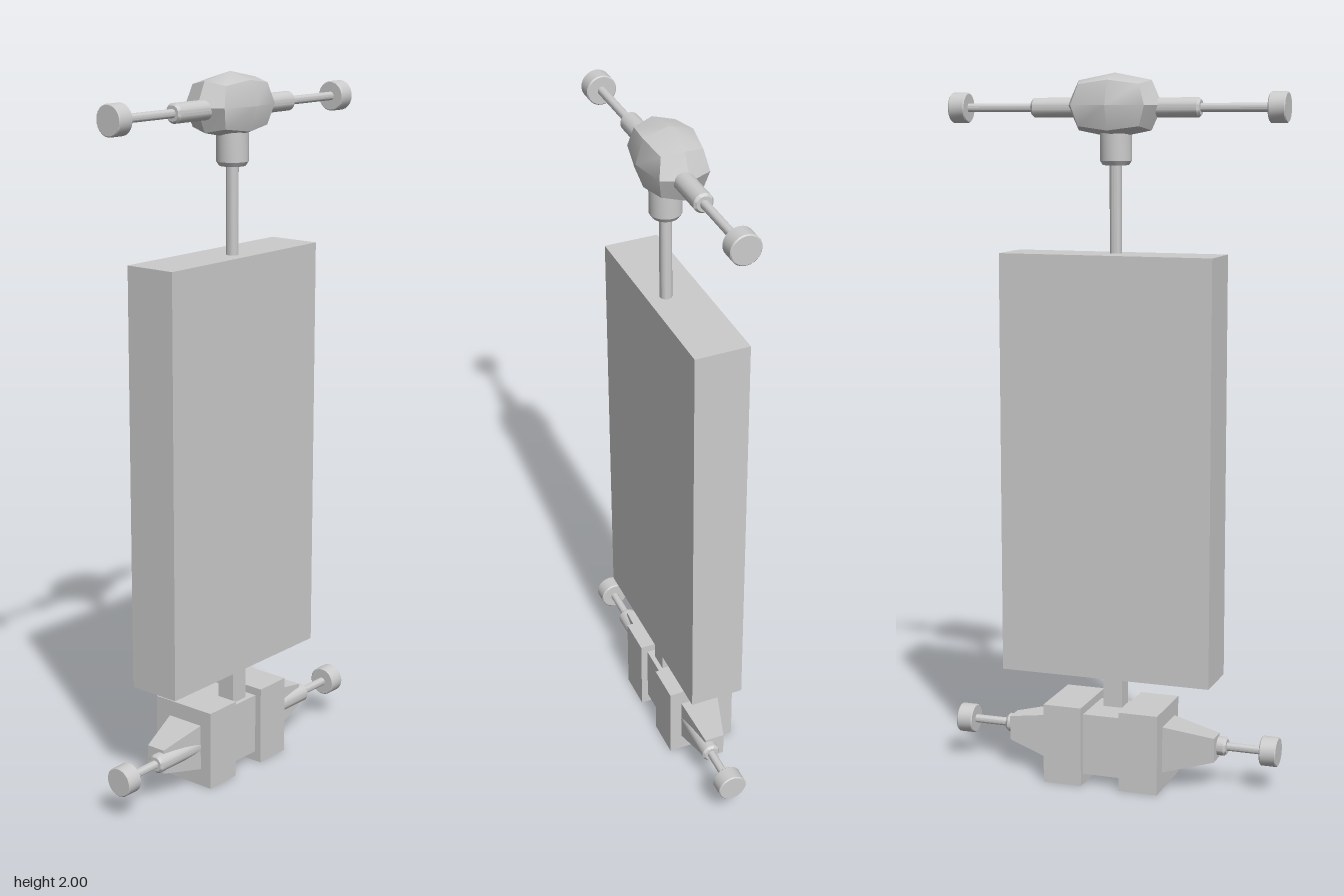
import * as THREE from 'three';
import { toCreasedNormals } from 'three/addons/utils/BufferGeometryUtils.js';

const material = new THREE.MeshStandardMaterial({ color: 0xcccccc });
const AXIS_Z = 0.028; // depth of the post and both crossbars

function add(parent, name, geometry, x = 0, y = 0, z = 0) {
  const mesh = new THREE.Mesh(geometry, material);
  mesh.name = name;
  mesh.position.set(x, y, z);
  parent.add(mesh);
  return mesh;
}

// Box given by its lower and upper limits
function block(parent, name, [x0, x1], [y0, y1], [z0, z1]) {
  return add(parent, name, new THREE.BoxGeometry(x1 - x0, y1 - y0, z1 - z0),
    (x0 + x1) / 2, (y0 + y1) / 2, (z0 + z1) / 2);
}

// Turned solid from [radius, height] pairs, with crisp edges
function turned(points, sides = 24) {
  const profile = points.map(([r, h]) => new THREE.Vector2(r, h));
  return toCreasedNormals(new THREE.LatheGeometry(profile, sides), 0.5);
}

// One half of a crossbar: sleeve, thin rod and end knob, along +x or -x
function barHalf(parent, name, side, y, sleeveEnd) {
  const half = new THREE.Group();
  half.name = name;
  half.position.set(0, y, AXIS_Z);
  half.rotation.z = -side * Math.PI / 2;
  add(half, 'sleeve', turned([[0, 0.05], [0.027, 0.05], [0.027, sleeveEnd - 0.007],
    [0.021, sleeveEnd], [0, sleeveEnd]]));
  add(half, 'rod', turned([[0, 0.1], [0.012, 0.1], [0.012, 0.45], [0, 0.45]], 16));
  add(half, 'knob', turned([[0, 0.437], [0.039, 0.437], [0.042, 0.44], [0.042, 0.482],
    [0.039, 0.485], [0, 0.485]]));
  parent.add(half);
}

// Rounded head: a subdivided box with its edges and corners drawn inwards
function headGeometry() {
  const geometry = new THREE.BoxGeometry(2, 2, 2, 2, 2, 2);
  const pos = geometry.attributes.position;
  const v = new THREE.Vector3();
  const pull = [1, 1, 0.77, 0.64];
  for (let i = 0; i < pos.count; i++) {
    v.fromBufferAttribute(pos, i);
    const count = Math.round(Math.abs(v.x) + Math.abs(v.y) + Math.abs(v.z));
    v.multiplyScalar(pull[count]);
    pos.setXYZ(i, v.x * 0.137, v.y * 0.088, v.z * 0.089);
  }
  return toCreasedNormals(geometry, 0.6);
}

// Tapered housing: a box whose outer end shrinks and shifts
function taperGeometry(side) {
  const geometry = new THREE.BoxGeometry(0.15, 1, 1);
  const pos = geometry.attributes.position;
  for (let i = 0; i < pos.count; i++) {
    const outer = pos.getX(i) * side > 0;
    pos.setY(i, pos.getY(i) * (outer ? 0.07 : 0.138));
    pos.setZ(i, outer ? 0.008 + pos.getZ(i) * 0.058 : -0.005 + pos.getZ(i) * 0.12);
  }
  return geometry.toNonIndexed();
}

export function createModel() {
  const model = new THREE.Group();
  model.name = 'panelOnStand';

  // Main panel and the posts joining it
  block(model, 'panel', [-0.308, 0.308], [0.312, 1.508], [-0.076, 0.08]);
  block(model, 'lowerPost', [-0.028, 0.028], [0.18, 0.32], [0, 0.056]);
  add(model, 'upperPost', turned([[0, 1.5], [0.017, 1.5], [0.017, 1.78], [0, 1.78]], 16), 0, 0, AXIS_Z);

  // Head on its collar
  add(model, 'collar', turned([[0, 1.75], [0.036, 1.75], [0.044, 1.762], [0.044, 1.86], [0, 1.86]]), 0, 0, AXIS_Z);
  add(model, 'head', headGeometry(), 0, 1.912, 0.02);

  // Base hub with side blocks, tapered housings and both crossbars
  block(model, 'hub', [-0.06, 0.06], [0.03, 0.207], [-0.092, 0.07]);
  for (const side of [-1, 1]) {
    const label = side > 0 ? 'left' : 'right';
    const xs = side > 0 ? [0.057, 0.17] : [-0.17, -0.057];
    block(model, label + 'BaseBlock', xs, [0, 0.23], [-0.112, 0.09]);
    add(model, label + 'Housing', taperGeometry(side), side * 0.235, 0.117, 0);
    barHalf(model, label + 'LowerBar', side, 0.117, 0.336);
    barHalf(model, label + 'UpperBar', side, 1.906, 0.244);
  }
  return model;
}
